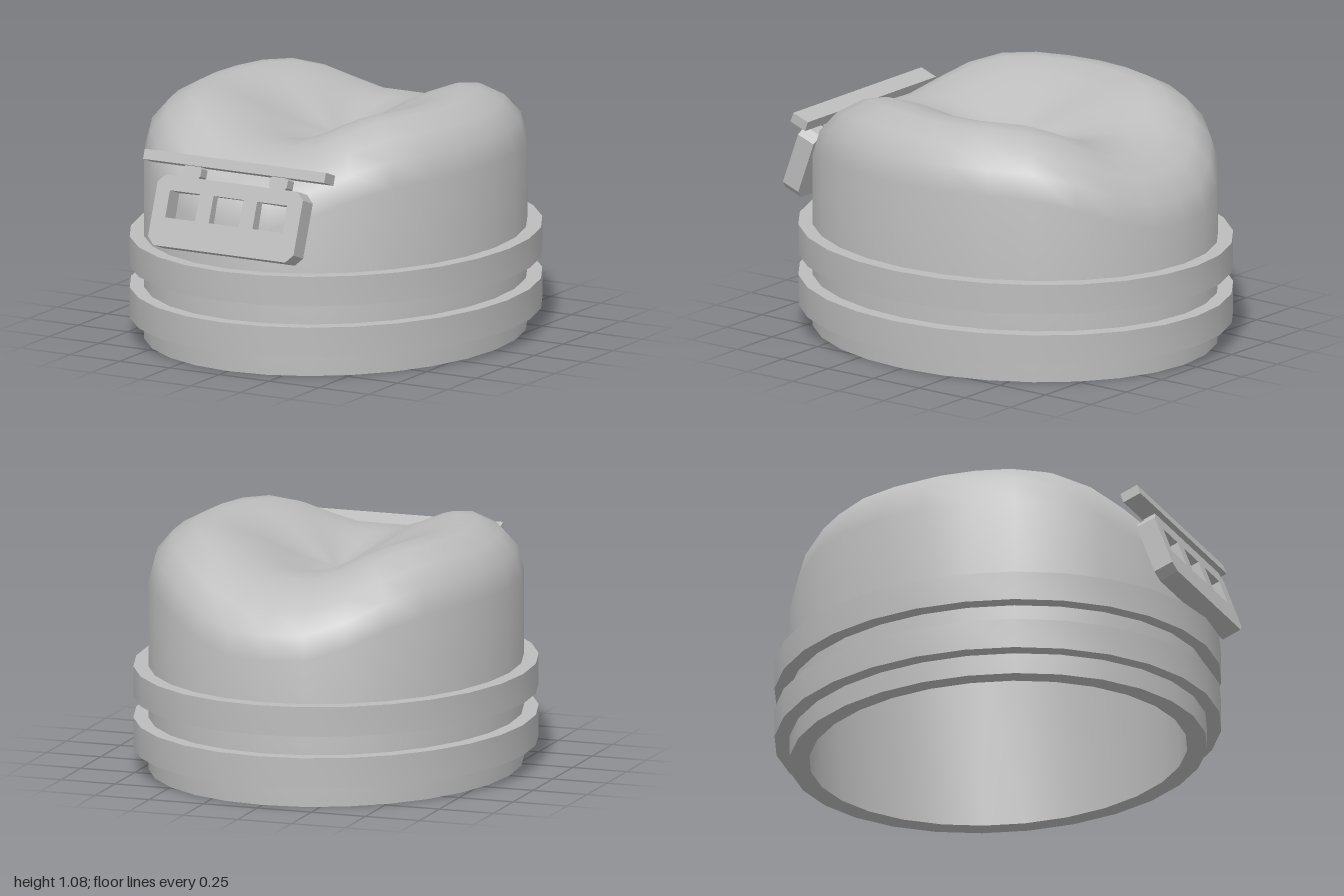
import * as THREE from 'three';
import { toCreasedNormals } from 'three/addons/utils/BufferGeometryUtils.js';

const SIDES = 28;
const TILT = -0.35;
const grey = new THREE.MeshStandardMaterial({ color: 0xbcbcbc });
grey.name = 'grey';

function addMesh(parent, name, geometry) {
  const mesh = new THREE.Mesh(geometry, grey);
  mesh.name = name;
  parent.add(mesh);
  return mesh;
}

// Elliptical lathe from [radius, height] points
function lathe(points) {
  return new THREE.LatheGeometry(points.map(([r, y]) => new THREE.Vector2(r, y)), SIDES);
}

// Rectangle with cut corners
function cutRect(w, h, c) {
  const x = w / 2, y = h / 2;
  return new THREE.Shape([
    [-x + c, -y], [x - c, -y], [x, -y + c], [x, y - c],
    [x - c, y], [-x + c, y], [-x, y - c], [-x, -y + c],
  ].map(([a, b]) => new THREE.Vector2(a, b)));
}

function extrude(shape, depth) {
  const g = new THREE.ExtrudeGeometry(shape, { depth, bevelEnabled: false });
  return g.translate(0, 0, -depth / 2);
}

// Hollow shell: flat ceiling, inner wall, bottom rim, outer wall and dished dome
function shellGeometry() {
  const radii = [1, 0.965, 0.88, 0.75, 0.65, 0.5, 0.375, 0.25, 0.12, 0];
  const sideHeights = [0.83, 0.94, 1.02, 1.075, 1.08, 1.045, 1.0, 0.95, 0.9, 0.87];
  const frontHeights = [0.64, 0.745, 0.84, 0.91, 0.94, 0.94, 0.92, 0.895, 0.875, 0.87];
  const inner = [[0, 0.74], [0.905, 0.74], [0.905, 0], [1, 0]];
  const g = lathe([...inner, ...radii.map((r) => [r, 1])]);
  const count = inner.length + radii.length;
  const p = g.attributes.position;
  for (let i = 0; i < p.count; i++) {
    const ring = (i % count) - inner.length;
    if (ring < 0) continue;
    // Two raised lobes at the sides, lower at the front and back
    const angle = (Math.floor(i / count) / SIDES) * Math.PI * 2;
    const w = THREE.MathUtils.smoothstep(Math.abs(Math.sin(angle)), 0.15, 0.9);
    p.setY(i, THREE.MathUtils.lerp(frontHeights[ring], sideHeights[ring], w));
  }
  g.scale(0.8, 1, 0.93).translate(0, 0, -0.005);
  return toCreasedNormals(g, 0.9);
}

export function createModel() {
  const model = new THREE.Group();
  model.name = 'dishedCap';

  addMesh(model, 'shell', shellGeometry());

  // Two raised bands round the wall
  for (const [name, low, high] of [['lowerBand', 0.095, 0.23], ['upperBand', 0.325, 0.457]]) {
    const g = lathe([[0.9, low], [1, low], [1, high], [0.9, high]]);
    g.scale(0.865, 1, 0.993).translate(0, 0, -0.007);
    addMesh(model, name, toCreasedNormals(g, 0.6));
  }

  // Tilted front panel with three windows
  const panel = cutRect(0.73, 0.313, 0.035);
  for (const x of [-0.222, -0.003, 0.216]) {
    const hole = new THREE.Path();
    hole.moveTo(x - 0.075, -0.03);
    hole.lineTo(x - 0.075, 0.09);
    hole.lineTo(x + 0.075, 0.09);
    hole.lineTo(x + 0.075, -0.03);
    hole.closePath();
    panel.holes.push(hole);
  }
  const frontPanel = addMesh(model, 'frontPanel', extrude(panel, 0.09));
  frontPanel.position.set(0, 0.67, 0.905);
  frontPanel.rotation.x = TILT;

  // Long bar above the panel
  const bar = addMesh(model, 'topBar', new THREE.BoxGeometry(0.91, 0.045, 0.085));
  bar.position.set(0, 0.89, 0.83);
  bar.rotation.x = TILT;

  // Pegs joining the bar and the panel
  for (const side of [-1, 1]) {
    const peg = addMesh(model, side > 0 ? 'leftPeg' : 'rightPeg', extrude(cutRect(0.09, 0.07, 0.018), 0.055));
    peg.position.set(0.217 * side, 0.842, 0.838);
    peg.rotation.x = TILT;
  }
  return model;
}
